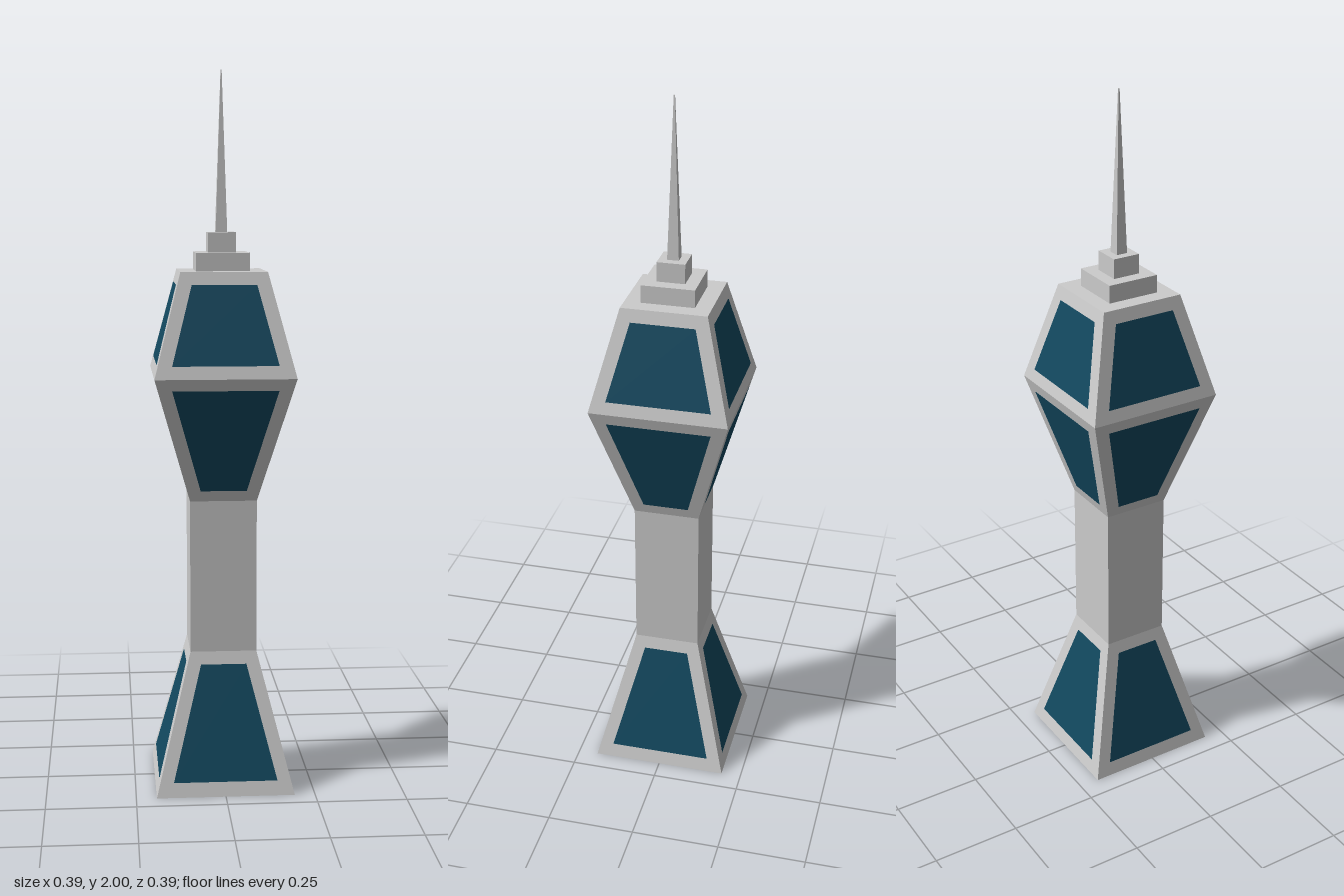
import * as THREE from 'three';

const grey = new THREE.MeshStandardMaterial({ color: 0xcccccc, flatShading: true });
const glass = new THREE.MeshStandardMaterial({ color: 0x12485f, flatShading: true });

// Square-section solid from [half width, height] rings, bottom to top.
function squareLathe(name, rings) {
  const points = [[0, rings[0][1]], ...rings, [0, rings[rings.length - 1][1]]]
    .map(([half, y]) => new THREE.Vector2(half * Math.SQRT2, y));
  const mesh = new THREE.Mesh(new THREE.LatheGeometry(points, 4, Math.PI / 4), grey);
  mesh.name = name;
  return mesh;
}

// Trapezoid pane on a sloping front wall; each row is [half width, y, z].
function paneGeometry([w0, y0, z0], [w1, y1, z1]) {
  const geometry = new THREE.BufferGeometry();
  geometry.setAttribute('position', new THREE.Float32BufferAttribute(
    [-w0, y0, z0, w0, y0, z0, w1, y1, z1, -w1, y1, z1], 3));
  geometry.setIndex([0, 1, 2, 0, 2, 3]);
  geometry.computeVertexNormals();
  return geometry;
}

export function createModel() {
  const model = new THREE.Group();
  model.name = 'tower';

  // Flared base, straight shaft and diamond-shaped observation head
  const profile = [[0.193, 0], [0.093, 0.39], [0.093, 0.82], [0.193, 1.17], [0.119, 1.455]];
  model.add(squareLathe('towerBody', profile));

  // Stepped roof and needle
  model.add(squareLathe('lowerRoofStep', [[0.074, 1.455], [0.074, 1.505]]));
  model.add(squareLathe('upperRoofStep', [[0.039, 1.505], [0.039, 1.56]]));
  model.add(squareLathe('spire', [[0.016, 1.56], [0.0015, 2]]));

  // Windows: wall section index, then bottom and top [half width, y]
  const windows = [
    ['baseWindow', 0, [0.145, 0.04], [0.064, 0.355]],
    ['lowerHeadWindow', 2, [0.064, 0.85], [0.145, 1.138]],
    ['upperHeadWindow', 3, [0.145, 1.205], [0.089, 1.42]],
  ];
  for (const [name, section, bottom, top] of windows) {
    const [r0, y0] = profile[section];
    const [r1, y1] = profile[section + 1];
    // Sit just proud of the wall
    const onWall = ([w, y]) => [w, y, THREE.MathUtils.mapLinear(y, y0, y1, r0, r1) + 0.0015];
    const geometry = paneGeometry(onWall(bottom), onWall(top));
    for (let side = 0; side < 4; side++) {
      const pane = new THREE.Mesh(geometry, glass);
      pane.name = name;
      pane.rotation.y = side * Math.PI / 2;
      model.add(pane);
    }
  }
  return model;
}
